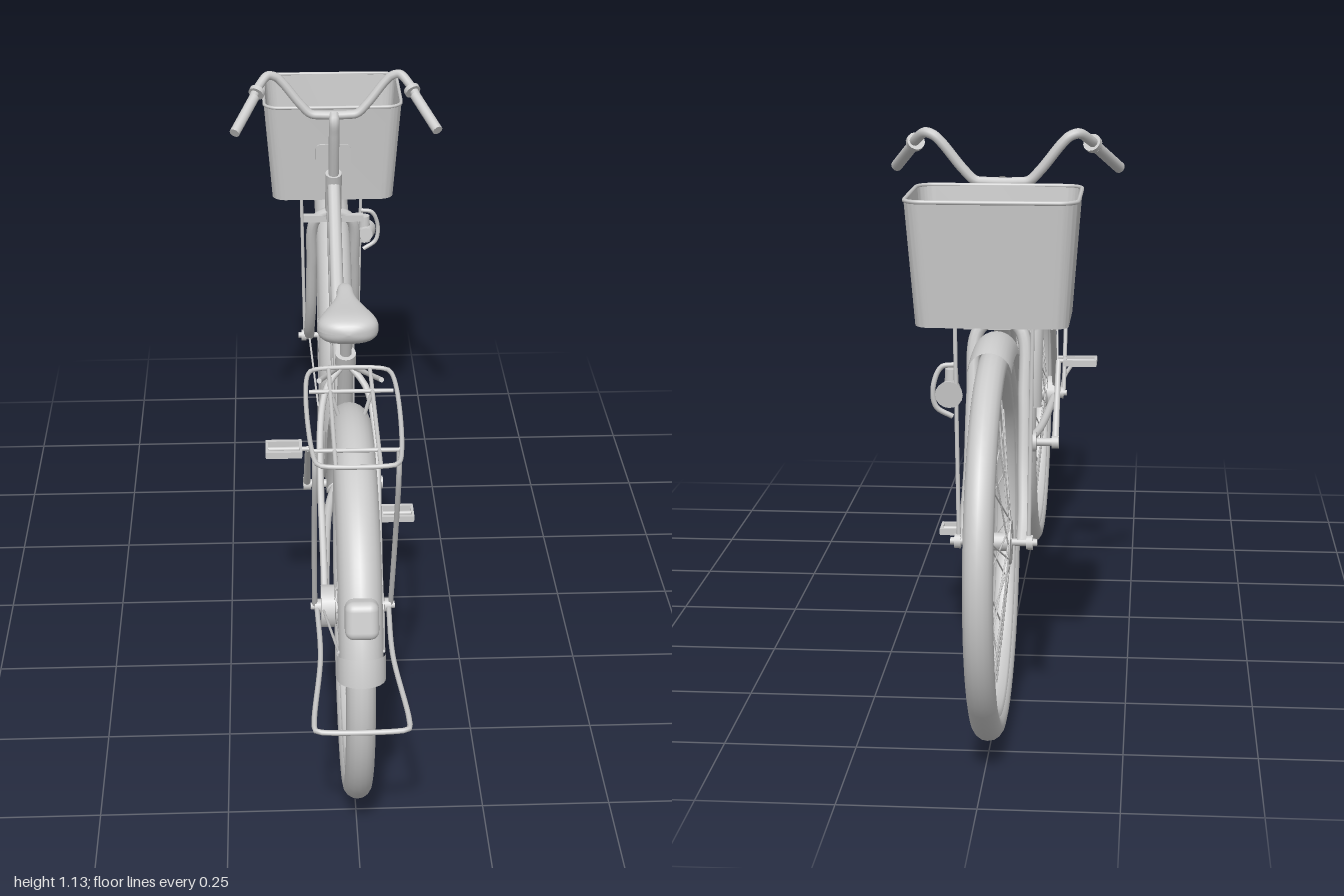
import * as THREE from 'three';
import { mergeGeometries, toCreasedNormals } from 'three/addons/utils/BufferGeometryUtils.js';
import { RoundedBoxGeometry } from 'three/addons/geometries/RoundedBoxGeometry.js';

const grey = new THREE.MeshStandardMaterial({ color: 0xcccccc });
const thin = new THREE.MeshStandardMaterial({ color: 0xcccccc, side: THREE.DoubleSide });
const V = (p) => new THREE.Vector3(...p);
const REAR = 0.588, FRONT = -0.628, AXLE = 0.372, R = 0.37;

export function createModel() {
  const root = new THREE.Group();
  const add = (name, geo, mat = grey) => {
    const m = new THREE.Mesh(geo, mat);
    m.name = name;
    root.add(m);
  };
  // Capped straight rod between two points
  const rodGeo = (a, b, r, r2 = r, sides = 16) => {
    const d = V(b).sub(V(a));
    const g = new THREE.CylinderGeometry(r2, r, d.length(), sides);
    g.applyQuaternion(new THREE.Quaternion().setFromUnitVectors(new THREE.Vector3(0, 1, 0), d.clone().normalize()));
    return g.translate(...V(a).addScaledVector(d, 0.5).toArray());
  };
  const rod = (name, a, b, r, r2) => add(name, rodGeo(a, b, r, r2));
  // Smooth bent tube through points
  const tube = (name, pts, r, closed = false, sides = 10) =>
    add(name, new THREE.TubeGeometry(new THREE.CatmullRomCurve3(pts.map(V), closed, 'centripetal'), pts.length * 8, r, sides, closed), thin);
  // Disc or drum across the bike
  const drum = (name, x0, x1, y, z, r) => rod(name, [x0, y, z], [x1, y, z], r);
  // Profile of [radius, x] swept about the wheel axle
  const sweep = (name, prof, z, start = 0, len = Math.PI * 2) => {
    const g = new THREE.LatheGeometry(prof.map((p) => new THREE.Vector2(...p)), 64, start, len);
    add(name, g.rotateZ(Math.PI / 2).translate(0, AXLE, z), thin);
  };

  // Wheels
  for (const [label, z, flange] of [['rear', REAR, 0.036], ['front', FRONT, 0.042]]) {
    add(label + 'Tyre', new THREE.TorusGeometry(R - 0.027, 0.027, 16, 72).rotateY(Math.PI / 2).translate(0, AXLE, z));
    sweep(label + 'Rim', [[0.325, -0.02], [0.313, -0.017], [0.308, 0], [0.313, 0.017], [0.325, 0.02]], z);
    drum(label + 'Hub', -0.035, 0.035, AXLE, z, 0.017);
    drum(label + 'Axle', -0.082, 0.082, AXLE, z, 0.007);
    const spokes = [];
    for (let i = 0; i < 36; i++) {
      const a = (i / 36) * Math.PI * 2, s = i % 2 ? 1 : -1;
      const b = a + (i % 4 < 2 ? 1 : -1) * 1.2, f = flange - 0.005;
      spokes.push(rodGeo(
        [s * 0.032, AXLE + f * Math.sin(b), z + f * Math.cos(b)],
        [0, AXLE + 0.314 * Math.sin(a), z + 0.314 * Math.cos(a)], 0.0017, 0.0017, 5));
    }
    add(label + 'Spokes', mergeGeometries(spokes));
    for (const s of [-1, 1]) {
      drum(label + 'HubFlange', s * 0.03, s * 0.034, AXLE, z, flange);
      drum(label + 'AxleNut', s * 0.062, s * 0.074, AXLE, z, 0.014);
    }
  }
  drum('rearBrakeDrum', -0.062, -0.036, AXLE, REAR, 0.042);

  // Mudguards and flaps
  const guard = (grow) => Array.from({ length: 13 }, (_, i) => {
    const t = (i / 12) * Math.PI;
    return [0.355 + (0.042 + grow) * Math.sin(t), (0.04 + grow) * Math.cos(t)];
  });
  sweep('rearMudguard', guard(0), REAR, 0.25, 2.75);
  sweep('rearFlap', guard(0.004), REAR, 0.21, 0.13);
  sweep('frontMudguard', guard(0), FRONT, -0.14, 1.96);
  sweep('frontFlap', guard(0.004), FRONT, -0.17, 0.14);
  for (const s of [-1, 1]) {
    rod('rearMudguardStay', [s * 0.06, AXLE, REAR], [s * 0.04, 0.5, 0.93], 0.0025);
    rod('frontMudguardStay', [s * 0.055, AXLE, FRONT], [s * 0.04, 0.335, -0.27], 0.0025);
  }

  // Frame
  tube('upperFrameTube', [[0, 0.845, -0.436], [0, 0.695, -0.257], [0, 0.583, -0.096], [0, 0.541, 0.03], [0, 0.524, 0.16]], 0.015);
  tube('lowerFrameTube', [[0, 0.775, -0.46], [0, 0.578, -0.257], [0, 0.455, -0.096], [0, 0.403, 0.03], [0, 0.375, 0.11]], 0.016);
  rod('seatTube', [0, 0.372, 0.11], [0, 0.74, 0.241], 0.016);
  rod('seatPost', [0, 0.73, 0.237], [0, 0.85, 0.28], 0.012);
  rod('seatClamp', [0, 0.722, 0.235], [0, 0.752, 0.245], 0.021);
  rod('headTube', [0, 0.75, -0.47], [0, 0.875, -0.437], 0.019);
  drum('bottomBracket', -0.036, 0.036, 0.372, 0.11, 0.022);
  for (const s of [-1, 1]) {
    tube('seatStay', [[0, 0.73, 0.24], [s * 0.043, 0.685, 0.285], [s * 0.055, AXLE, REAR]], 0.007);
    tube('chainStay', [[s * 0.015, 0.372, 0.11], [s * 0.035, 0.372, 0.22], [s * 0.055, AXLE, REAR]], 0.009);
    tube('forkBlade', [[0, 0.775, -0.463], [s * 0.042, 0.745, -0.472], [s * 0.05, 0.62, -0.505], [s * 0.052, 0.49, -0.545], [s * 0.055, 0.41, -0.59], [s * 0.055, AXLE, FRONT]], 0.013);
  }

  // Handlebar
  tube('stem', [[0, 0.8, -0.457], [0, 0.98, -0.404], [0, 1.015, -0.398], [0, 1.027, -0.412]], 0.012);
  const half = [[0.03, 1.025, -0.412], [0.052, 1.028, -0.412], [0.075, 1.05, -0.414], [0.115, 1.1, -0.418], [0.13, 1.114, -0.417],
    [0.147, 1.119, -0.411], [0.167, 1.104, -0.385], [0.19, 1.075, -0.33]];
  tube('handlebar', [...half.map(([x, y, z]) => [-x, y, z]).reverse(), ...half], 0.01);
  for (const s of [-1, 1]) {
    rod('grip', [s * 0.178, 1.088, -0.355], [s * 0.222, 1.037, -0.268], 0.0115);
    rod('gripCollar', [s * 0.17, 1.098, -0.372], [s * 0.174, 1.093, -0.364], 0.018);
  }

  // Saddle: a ball squared off and stretched into a narrow nose and broad back
  const saddle = new THREE.SphereGeometry(1, 40, 28).rotateX(Math.PI / 2);
  const sp = saddle.attributes.position;
  const square = (v) => Math.sign(v) * Math.abs(v) ** 0.75;
  for (let i = 0; i < sp.count; i++) {
    const z = sp.getZ(i), k = THREE.MathUtils.smoothstep(z, -0.6, 0.75);
    const ring = Math.sqrt(Math.max(1e-6, 1 - z * z)), full = Math.sqrt(Math.max(0, 1 - z ** 6));
    sp.setXYZ(i, square(sp.getX(i) / ring) * full * (0.018 + 0.045 * k),
      0.867 - 0.011 * k + 0.004 * z * z + square(sp.getY(i) / ring) * full * (0.016 + 0.015 * k), 0.283 + 0.105 * z);
  }
  saddle.computeVertexNormals();
  add('saddle', saddle);

  // Chain case
  const cs = new THREE.Shape();
  cs.absarc(-0.12, 0.372, 0.08, -Math.PI / 2, Math.PI / 2);
  cs.lineTo(-0.48, 0.449);
  cs.quadraticCurveTo(-0.55, 0.445, -0.6, 0.415);
  cs.absarc(-0.6, 0.372, 0.043, Math.PI / 2, Math.PI * 1.5);
  add('chainCase', toCreasedNormals(new THREE.ExtrudeGeometry(cs, { depth: 0.018, bevelEnabled: false, curveSegments: 20 })
    .rotateY(Math.PI / 2).translate(0.04, 0, 0), 0.6));

  // Cranks and pedals
  drum('crankAxle', -0.085, 0.085, 0.372, 0.11, 0.009);
  for (const [s, y, z] of [[1, 0.209, -0.03], [-1, 0.53, 0.24]]) {
    drum('crankBoss', s * 0.07, s * 0.086, 0.372, 0.11, 0.014);
    rod('crankArm', [s * 0.078, 0.372, 0.11], [s * 0.078, y, z], 0.008, 0.006);
    drum('pedalAxle', s * 0.075, s * 0.165, y, z, 0.005);
    for (const d of [-0.024, 0.024])
      add('pedalTread', new THREE.BoxGeometry(0.074, 0.014, 0.009).translate(s * 0.128, y, z + d));
    for (const x of [0.093, 0.163])
      add('pedalPlate', new THREE.BoxGeometry(0.006, 0.012, 0.05).translate(s * x, y, z));
  }

  // Rear rack
  const rackY = 0.8;
  tube('rackOutline', [[-0.08, rackY, 0.43], [-0.08, rackY, 0.74], [-0.07, rackY, 0.787], [-0.05, rackY, 0.794], [0.05, rackY, 0.794], [0.07, rackY, 0.787],
    [0.08, rackY, 0.74], [0.08, rackY, 0.43], [0.068, rackY, 0.412], [-0.068, rackY, 0.412]], 0.0045, true, 8);
  for (const z of [0.505, 0.735]) rod('rackCrossBar', [-0.08, rackY, z], [0.08, rackY, z], 0.004);
  for (const s of [-1, 1]) {
    rod('rackRail', [s * 0.04, rackY, 0.412], [s * 0.04, rackY, 0.794], 0.004);
    tube('rackLeg', [[s * 0.076, rackY, 0.738], [s * 0.076, 0.75, 0.738], [s * 0.076, 0.56, 0.66], [s * 0.074, AXLE, REAR]], 0.005);
    rod('rackBrace', [s * 0.06, rackY, 0.46], [s * 0.015, 0.72, 0.245], 0.005);
    rod('rackPost', [s * 0.04, rackY, 0.505], [s * 0.025, 0.75, 0.505], 0.004);
  }

  // Folded rear stand
  tube('stand', [[-0.07, AXLE, REAR], [-0.068, AXLE, 0.76], [-0.085, AXLE, 0.96], [-0.083, AXLE, 0.987], [-0.07, AXLE, 0.992],
    [0.07, AXLE, 0.992], [0.083, AXLE, 0.987], [0.085, AXLE, 0.96], [0.068, AXLE, 0.76], [0.07, AXLE, REAR]], 0.005, false, 8);

  // Rear lamp
  add('rearLamp', new RoundedBoxGeometry(0.06, 0.07, 0.045, 4, 0.016).rotateX(-0.25).translate(0, 0.577, 0.942));

  // Basket: tapered open shell, floor and rolled rim
  const rect = (w, d, r, Type = THREE.Shape) => {
    const s = new Type();
    [[w - r, d - r, 0], [r - w, d - r, 1], [r - w, r - d, 2], [w - r, r - d, 3]]
      .forEach(([x, y, q]) => s.absarc(x, y, r, q * Math.PI / 2, (q + 1) * Math.PI / 2));
    s.closePath();
    return s;
  };
  const bz = -0.582, by = 0.793, bh = 0.232;
  const basketPart = (name, shape, depth) => {
    const g = new THREE.ExtrudeGeometry(shape, { depth, bevelEnabled: false, curveSegments: 8 }).rotateX(-Math.PI / 2);
    const p = g.attributes.position;
    for (let i = 0; i < p.count; i++) {
      const k = p.getY(i) / bh;
      p.setXYZ(i, p.getX(i) * (0.89 + 0.11 * k), p.getY(i), p.getZ(i) * (0.84 + 0.16 * k));
    }
    add(name, toCreasedNormals(g, 0.6).translate(0, by, bz));
  };
  const wall = rect(0.158, 0.122, 0.035);
  wall.holes.push(rect(0.154, 0.118, 0.031, THREE.Path));
  basketPart('basketWall', wall, bh);
  basketPart('basketFloor', rect(0.157, 0.121, 0.034), 0.006);
  tube('basketRim', rect(0.157, 0.121, 0.034).getPoints(6).slice(0, -1).map((p) => [p.x, by + bh, bz + p.y]), 0.004, true, 6);

  // Basket mounts
  add('basketPlate', new THREE.ExtrudeGeometry(rect(0.04, 0.035, 0.012), { depth: 0.005, bevelEnabled: false })
    .rotateX(0.08).translate(0, 0.9, -0.472));
  rod('basketArm', [0, 0.875, -0.43], [0, 0.875, -0.475], 0.01);
  rod('basketCrossBar', [-0.075, 0.79, -0.618], [0.075, 0.79, -0.618], 0.005);
  add('forkBracket', new THREE.BoxGeometry(0.14, 0.016, 0.016).translate(0, 0.755, -0.462));
  for (const s of [-1, 1])
    rod('basketStrut', [s * 0.072, 0.79, -0.618], [s * 0.066, AXLE, FRONT], 0.004);

  // Headlamp with guard loop
  tube('headlampGuard', [[0.072, 0.71, -0.615], [0.098, 0.705, -0.615], [0.113, 0.668, -0.62], [0.108, 0.63, -0.618], [0.078, 0.61, -0.612]], 0.005);
  rod('headlampBody', [0.083, 0.66, -0.582], [0.083, 0.655, -0.628], 0.016, 0.026);
  rod('headlampDynamo', [0.08, 0.635, -0.605], [0.08, 0.7, -0.605], 0.015, 0.012);

  return root;
}
